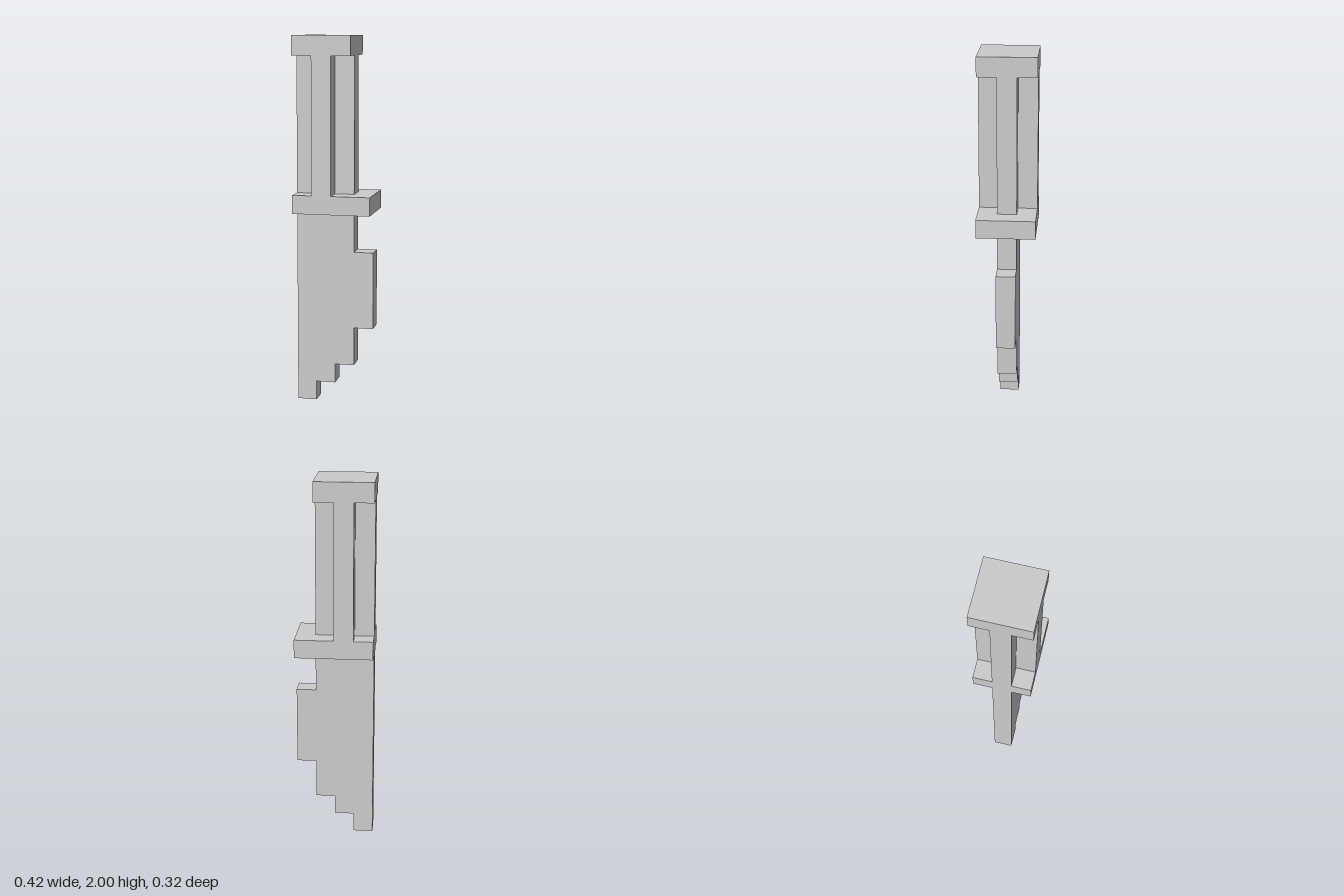
import * as THREE from 'three';

// The whole knife sits on a cubic grid, 19 cells tall.
const U = 2 / 19;
const material = new THREE.MeshStandardMaterial({ color: 0xcccccc, flatShading: true });

function outline(points) {
  return new THREE.Shape(points.map(([x, y]) => new THREE.Vector2(x * U, y * U)));
}

function extrude(name, points, depth) {
  const geometry = new THREE.ExtrudeGeometry(outline(points), { depth: depth * U, bevelEnabled: false });
  geometry.translate(0, 0, -depth * U / 2);
  const mesh = new THREE.Mesh(geometry, material);
  mesh.name = name;
  return mesh;
}

// Box from x0..x1 and y0..y1 in cells, centred on z
function slab(name, x0, x1, y0, y1, depth) {
  const mesh = new THREE.Mesh(new THREE.BoxGeometry((x1 - x0) * U, (y1 - y0) * U, depth * U), material);
  mesh.position.set((x0 + x1) / 2 * U, (y0 + y1) / 2 * U, 0);
  mesh.name = name;
  return mesh;
}

export function createModel() {
  const model = new THREE.Group();
  model.name = 'steppedKnife';

  // Blade: straight back edge, stepped cutting edge
  model.add(extrude('blade', [
    [-2, 0], [-1, 0], [-1, 1], [0, 1], [0, 2], [1, 2], [1, 4], [2, 4],
    [2, 8], [1, 8], [1, 10.05], [-2, 10.05],
  ], 1));

  // Guard between blade and grip
  model.add(slab('guard', -2, 2, 10.05, 11, 3));

  // Grip: cross-shaped section, stood upright
  const grip = extrude('grip', [
    [-0.5, -1.5], [0.5, -1.5], [0.5, -0.5], [1.5, -0.5], [1.5, 0.5], [0.5, 0.5],
    [0.5, 1.5], [-0.5, 1.5], [-0.5, 0.5], [-1.5, 0.5], [-1.5, -0.5], [-0.5, -0.5],
  ], 7);
  grip.rotation.x = -Math.PI / 2;
  grip.position.set(-0.5 * U, 14.5 * U, 0);
  model.add(grip);

  // Pommel
  model.add(slab('pommel', -2, 1, 18, 19, 3));

  return model;
}
